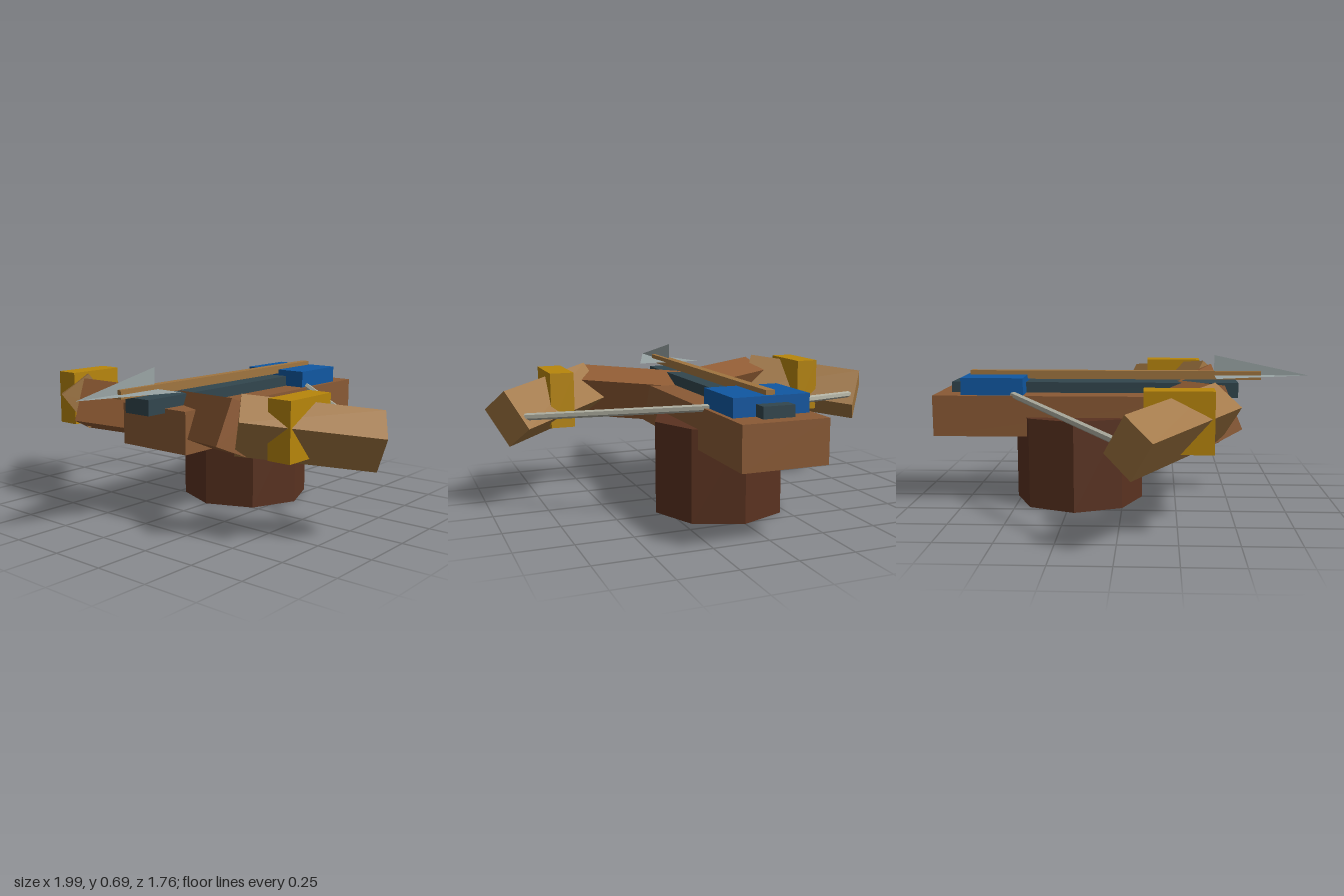
import * as THREE from 'three';

const V = (x, y, z) => new THREE.Vector3(x, y, z);
const mat = (color, side = THREE.FrontSide) =>
  new THREE.MeshStandardMaterial({ color, side, flatShading: true });

export function createModel() {
  const model = new THREE.Group();
  model.name = 'ballista';

  const add = (name, geometry, material) => {
    const mesh = new THREE.Mesh(geometry, material);
    mesh.name = name;
    model.add(mesh);
    return mesh;
  };

  // Axis-aligned box given by its limits
  const box = (name, [x0, x1], [y0, y1], [z0, z1], material) => {
    const mesh = add(name, new THREE.BoxGeometry(x1 - x0, y1 - y0, z1 - z0), material);
    mesh.position.set((x0 + x1) / 2, (y0 + y1) / 2, (z0 + z1) / 2);
    return mesh;
  };

  // Beam between two points, rolled so its height follows "up"
  const beam = (name, a, b, up, height, width, material) => {
    const dir = b.clone().sub(a);
    const mesh = add(name, new THREE.BoxGeometry(dir.length(), height, width), material);
    const x = dir.normalize();
    const z = x.clone().cross(up).normalize();
    const y = z.clone().cross(x);
    mesh.quaternion.setFromRotationMatrix(new THREE.Matrix4().makeBasis(x, y, z));
    mesh.position.copy(a).add(b).multiplyScalar(0.5);
    return mesh;
  };

  // Round rod between two points
  const rod = (name, a, b, radius, material) => {
    const dir = b.clone().sub(a);
    const mesh = add(name, new THREE.CylinderGeometry(radius, radius, dir.length(), 6), material);
    mesh.quaternion.setFromUnitVectors(V(0, 1, 0), dir.normalize());
    mesh.position.copy(a).add(b).multiplyScalar(0.5);
    return mesh;
  };

  // Thin triangular plate
  const plate = (name, corners, material) => {
    const geometry = new THREE.BufferGeometry().setFromPoints(corners);
    geometry.computeVertexNormals();
    return add(name, geometry, material);
  };

  const baseWood = mat(0x5a3220);
  const stockWood = mat(0x8a5a35);
  const armWood = mat(0x8f5b33);
  const limbWood = mat(0xa07540);
  const brass = mat(0xb8860b);
  const slate = mat(0x32464e);
  const blue = mat(0x1058a2);
  const cord = mat(0xb0b0a2);
  const steel = mat(0x9aa5a5, THREE.DoubleSide);

  // Octagonal pedestal
  add('base', new THREE.CylinderGeometry(0.305, 0.305, 0.42, 8), baseWood)
    .position.set(0, 0.21, -0.215);

  // Stock, rail and sliding block
  box('stock', [-0.19, 0.19], [0.33, 0.52], [-0.88, 0.44], stockWood);
  box('rail', [-0.07, 0.07], [0.5, 0.57], [-0.815, 0.54], slate);
  box('slider', [-0.17, 0.17], [0.52, 0.6], [-0.75, -0.46], blue);

  // Bolt: shaft, flat blade and upright fin
  box('boltShaft', [-0.02, 0.02], [0.58, 0.62], [-0.735, 0.65], limbWood);
  plate('boltBlade', [V(-0.16, 0.6, 0.43), V(0, 0.6, 0.875), V(0.16, 0.6, 0.43)], steel);
  plate('boltFin', [V(0, 0.6, 0.43), V(0, 0.6, 0.875), V(0, 0.695, 0.43)], steel);

  // Bow halves
  for (const s of [1, -1]) {
    const side = s > 0 ? 'left' : 'right';
    beam(side + 'Arm', V(0, 0.447, 0.235), V(s * 0.47, 0.483, 0.42),
      V(s * 0.02, 0.195, -0.08), 0.207, 0.152, armWood);
    beam(side + 'Limb', V(s * 0.457, 0.493, 0.415), V(s * 0.912, 0.428, 0.05),
      V(s * -0.075, 0.095, -0.105), 0.16, 0.205, limbWood);
    box(side + 'Clamp', s > 0 ? [0.59, 0.7] : [-0.7, -0.59], [0.36, 0.615], [0.105, 0.39], brass);
    rod(side + 'String', V(s * 0.14, 0.525, -0.525), V(s * 0.885, 0.436, 0.04), 0.016, cord);
  }

  return model;
}
